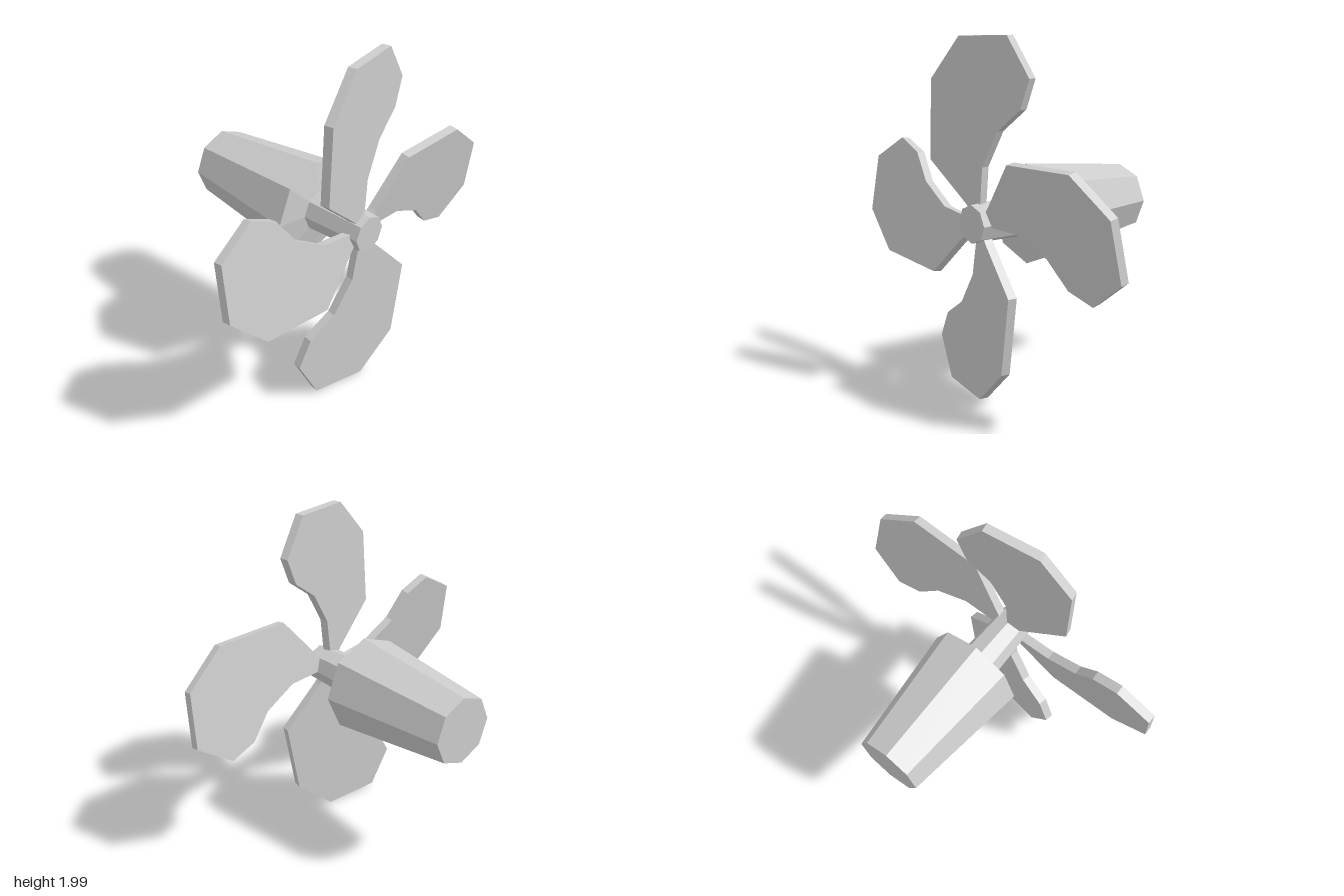
import * as THREE from 'three';

export function createModel() {
  const model = new THREE.Group();
  const grey = new THREE.MeshStandardMaterial({ color: 0xcccccc, flatShading: true });
  grey.name = 'light grey';

  // Everything turns about one axis running along z
  const propeller = new THREE.Group();
  propeller.name = 'propeller';
  propeller.position.set(-0.012, 1, 0);
  model.add(propeller);

  // Eight-sided solid of revolution along z, from [radius, z] pairs
  function turned(name, profile) {
    const points = profile.map(([r, z]) => new THREE.Vector2(r, z));
    const geometry = new THREE.LatheGeometry(points, 8).rotateX(Math.PI / 2);
    const mesh = new THREE.Mesh(geometry, grey);
    mesh.name = name;
    propeller.add(mesh);
  }
  turned('motorHousing', [[0, -0.585], [0.2, -0.585], [0.285, 0.18], [0.115, 0.212], [0, 0.212]]);
  turned('shaft', [[0, 0.19], [0.12, 0.19], [0.105, 0.575], [0, 0.575]]);

  // Curved blade outline, from the root up the convex edge and back down the hollow one
  const outline = [
    [-0.065, 0.07], [-0.09, 0.096], [-0.343, 0.315], [-0.323, 0.755], [-0.121, 0.985],
    [0.2, 0.993], [0.342, 0.78], [0.282, 0.62], [0.132, 0.5], [0.027, 0.303],
    [0.01, 0.107], [0.01, 0.07],
  ].map(([x, y]) => new THREE.Vector2(x * 1.01, y));
  const thickness = 0.052;
  const bladeGeometry = new THREE.ExtrudeGeometry(new THREE.Shape(outline), {
    depth: thickness, bevelEnabled: false,
  });
  bladeGeometry.translate(0, 0, -thickness / 2);
  bladeGeometry.rotateY(THREE.MathUtils.degToRad(9.6)); // pitch
  bladeGeometry.translate(0, 0, 0.5);

  // Four blades, slightly unevenly spaced
  ['rightwardBlade', 'topBlade', 'leftwardBlade', 'bottomBlade'].forEach((name, i) => {
    const blade = new THREE.Mesh(bladeGeometry, grey);
    blade.name = name;
    blade.rotation.z = THREE.MathUtils.degToRad((i - 1) * 87);
    propeller.add(blade);
  });

  return model;
}
